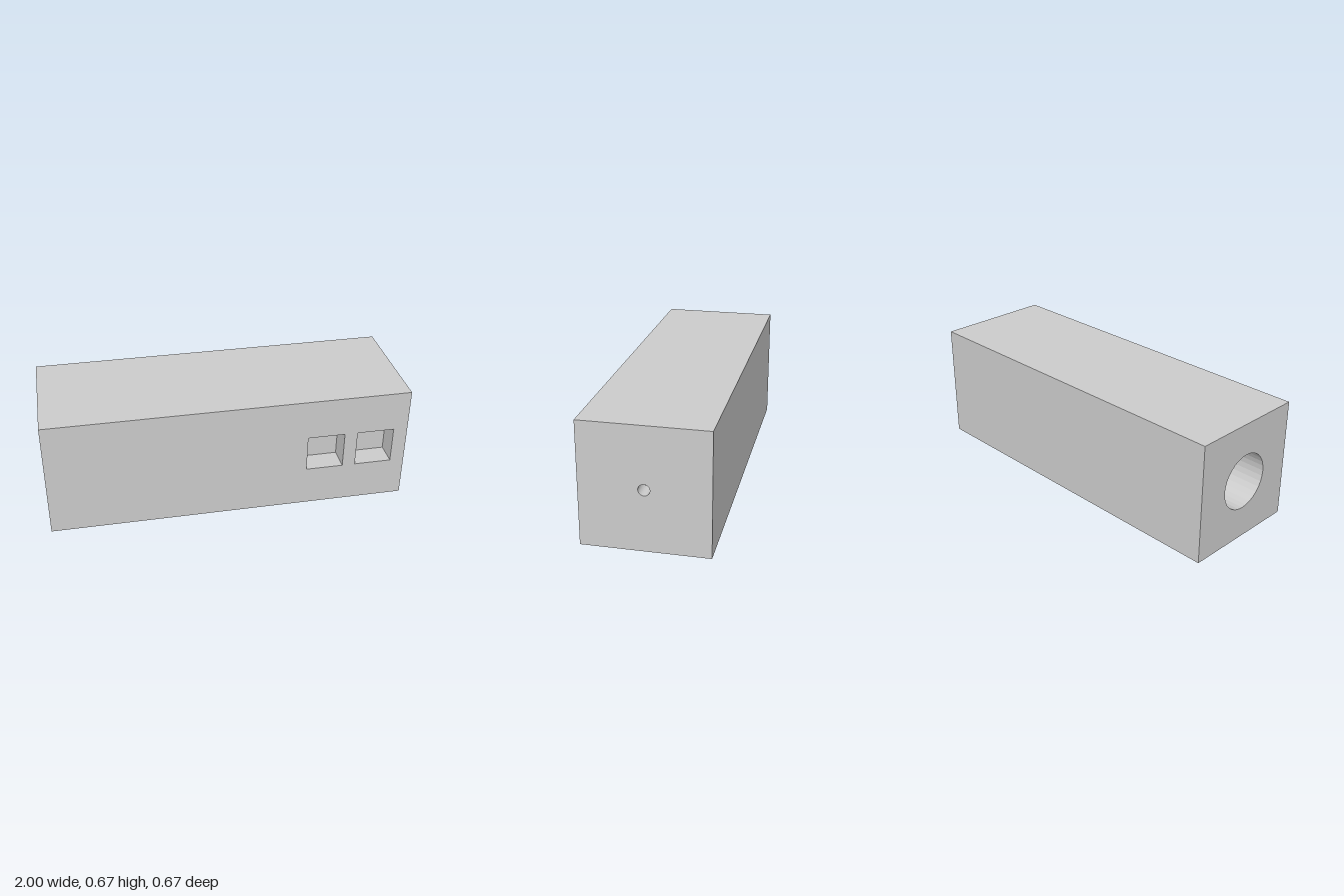
import * as THREE from 'three';

const LENGTH = 2, SIDE = 2 / 3, MID = SIDE / 2;
const BORE_R = 0.155, PIN_R = 0.03, STEP_X = 0.9; // stepped hole along the block
const WINDOW = 0.208, WINDOW_DEPTH = 0.13, WINDOW_X = [0.536, 0.817];

export function createModel() {
  const model = new THREE.Group();
  model.name = 'boredBlock';
  const material = new THREE.MeshStandardMaterial({ color: 0xcccccc, flatShading: true });

  const add = (name, geometry, x = 0, y = MID, z = 0) => {
    const mesh = new THREE.Mesh(geometry, material);
    mesh.name = name;
    mesh.position.set(x, y, z);
    model.add(mesh);
    return mesh;
  };

  // Rectangle centred on the origin, facing +z
  const rectangle = (Type, w, h, cx = 0) => new Type([
    [-w, -h], [w, -h], [w, h], [-w, h],
  ].map(([x, y]) => new THREE.Vector2(cx + x / 2, y / 2)));

  // Flat face of the block with optional cut-outs
  const panel = (w, h, holes = []) => {
    const shape = rectangle(THREE.Shape, w, h);
    shape.holes.push(...holes);
    return new THREE.ShapeGeometry(shape, 16);
  };
  const circle = (r) => new THREE.Path().absarc(0, 0, r, 0, Math.PI * 2);

  // Outer faces
  const windows = WINDOW_X.map((x) => rectangle(THREE.Path, WINDOW, WINDOW, x));
  add('frontFace', panel(LENGTH, SIDE, windows), 0, MID, MID);
  add('backFace', panel(LENGTH, SIDE).rotateY(Math.PI), 0, MID, -MID);
  add('topFace', panel(LENGTH, SIDE).rotateX(-Math.PI / 2), 0, SIDE, 0);
  add('bottomFace', panel(LENGTH, SIDE).rotateX(Math.PI / 2), 0, 0, 0);
  add('leftEnd', panel(SIDE, SIDE, [circle(PIN_R)]).rotateY(Math.PI / 2), LENGTH / 2);
  add('rightEnd', panel(SIDE, SIDE, [circle(BORE_R)]).rotateY(-Math.PI / 2), -LENGTH / 2);

  // Wide bore narrowing to a pinhole, facing inward
  const profile = [[PIN_R, 1], [PIN_R, STEP_X], [BORE_R, STEP_X], [BORE_R, -1]];
  const bore = new THREE.LatheGeometry(profile.map(([r, x]) => new THREE.Vector2(r, x)), 32);
  add('steppedBore', bore.rotateZ(-Math.PI / 2));

  // Square recesses: boxes turned inside out with the front side left open
  WINDOW_X.forEach((x, i) => {
    const pocket = new THREE.BoxGeometry(WINDOW, WINDOW, WINDOW_DEPTH);
    const index = Array.from(pocket.index.array);
    index.splice(24, 6);
    pocket.setIndex(index.reverse());
    pocket.clearGroups();
    pocket.computeVertexNormals();
    add(`squareRecess${i + 1}`, pocket, x, MID, MID - WINDOW_DEPTH / 2);
  });

  return model;
}
